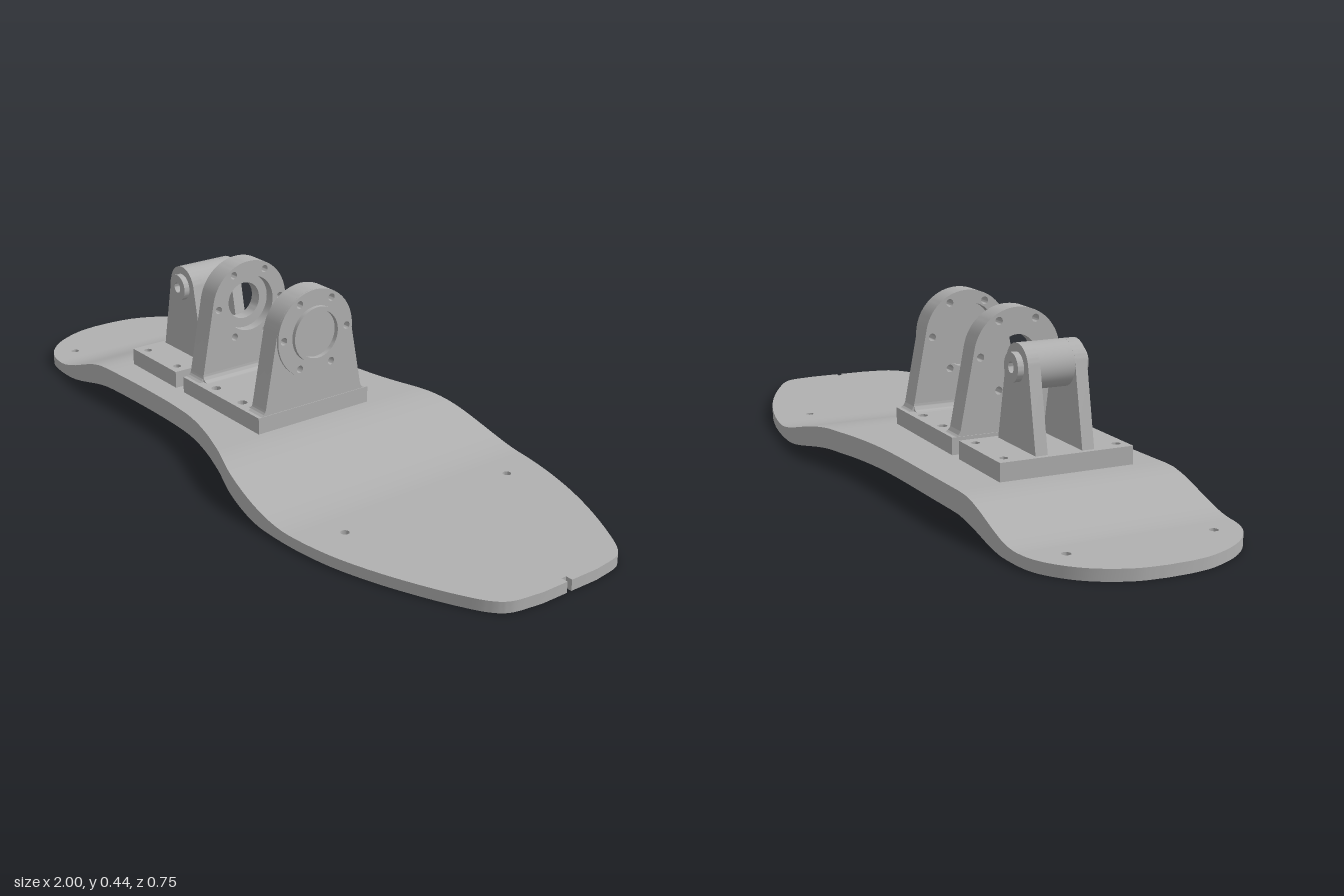
import * as THREE from 'three';
import { mergeGeometries, toCreasedNormals } from 'three/addons/utils/BufferGeometryUtils.js';

const V2 = (x, y) => new THREE.Vector2(x, y);
const Z0 = 0.004; // centre line of the brackets

// Shape from points, with round holes [x, y, radius]
function drill(shape, holes) {
  for (const [x, y, r] of holes) shape.holes.push(new THREE.Path().absarc(x, y, r, 0, Math.PI * 2, true));
  return shape;
}
const extrude = (shape, depth) =>
  new THREE.ExtrudeGeometry(shape, { depth, bevelEnabled: false, curveSegments: 20 });

function rectangle(x0, x1, half) {
  return new THREE.Shape([V2(x0, -half), V2(x1, -half), V2(x1, half), V2(x0, half)]);
}

// Foot plate: height profile and outline stations [x, back z, front z]
const step = THREE.MathUtils.smoothstep;
const topY = x => 0.028 + 0.064 * (step(x, -0.8, -0.54) - step(x, 0.1, 0.47));
const bottomY = x => 0.037 * (step(x, -0.75, -0.51) - step(x, 0.1, 0.38));
const stations = [
  [-1, -0.03, 0.03], [-0.99, -0.1, 0.09], [-0.95, -0.185, 0.175], [-0.9, -0.237, 0.228],
  [-0.85, -0.266, 0.255], [-0.79, -0.278, 0.265], [-0.6, -0.283, 0.263], [-0.4, -0.29, 0.253],
  [-0.2, -0.297, 0.251], [-0.1, -0.305, 0.259], [0, -0.322, 0.282], [0.1, -0.348, 0.315],
  [0.2, -0.37, 0.35], [0.3, -0.378, 0.367], [0.4, -0.377, 0.372], [0.5, -0.366, 0.368],
  [0.6, -0.345, 0.353], [0.7, -0.315, 0.325], [0.8, -0.275, 0.287], [0.9, -0.225, 0.24],
  [0.96, -0.188, 0.203], [0.985, -0.16, 0.172], [1, -0.08, 0.09],
];

function plateGeometry() {
  const rows = new THREE.CatmullRomCurve3(stations.map(s => new THREE.Vector3(...s))).getPoints(132);
  const notch = [V2(1, 0), V2(0.982, 0), V2(0.982, 0.014), V2(1, 0.014)];
  const positions = [];
  const tri = (...pts) => pts.forEach(p => positions.push(...p));
  const at = (p, yOf) => [p.x, yOf(p.x), p.y];

  // Holes [x, z, top radius, bottom radius]
  const holes = [];
  for (const s of [-1, 1]) {
    holes.push([-0.85, s * 0.185, 0.011, 0.011], [0.535, s * 0.258, 0.011, 0.011]);
    for (const x of [-0.14, -0.02]) holes.push([x, Z0 + s * 0.15, 0.013, 0.024]);
    for (const x of [-0.48, -0.33]) holes.push([x, Z0 + s * 0.15, 0.011, 0.015]);
  }
  const ring = (h, r) => Array.from({ length: 16 }, (_, i) => {
    const a = -i * Math.PI / 8;
    return V2(h[0] + r * Math.cos(a), h[1] + r * Math.sin(a));
  });

  // Closed loop around rows i to j
  const loopOf = (i, j) => {
    const part = rows.slice(i, j + 1);
    return [...part.map(p => V2(p.x, p.y)), ...(j === rows.length - 1 ? notch : []),
      ...part.reverse().map(p => V2(p.x, p.z))];
  };
  const cap = (i, j, yOf, radiusIndex, up) => {
    const inside = holes.filter(h => h[0] > rows[i].x && h[0] < rows[j].x).map(h => ring(h, h[radiusIndex]));
    const loop = loopOf(i, j);
    const all = [...loop, ...inside.flat()];
    for (const f of THREE.ShapeUtils.triangulateShape(loop, inside)) {
      const [a, b, c] = f.map(k => all[k]);
      const faceUp = (b.y - a.y) * (c.x - a.x) - (b.x - a.x) * (c.y - a.y) > 0;
      const order = faceUp === up ? [a, b, c] : [a, c, b];
      tri(...order.map(p => at(p, yOf)));
    }
  };
  const wall = (upper, lower) => upper.forEach((p, k) => {
    const n = (k + 1) % upper.length;
    const a = at(p, topY), b = at(upper[n], topY), c = at(lower[n], bottomY), d = at(lower[k], bottomY);
    tri(a, b, c, a, c, d);
  });

  // Flat zones stay whole, the two ramps are cut at every row
  const flat = x => x < -0.8 || (x > -0.508 && x < 0.1) || x > 0.47;
  const cuts = rows.map((_, i) => i).filter(i =>
    i === 0 || i === rows.length - 1 || !(flat(rows[i - 1].x) && flat(rows[i].x) && flat(rows[i + 1].x)));
  for (let k = 0; k < cuts.length - 1; k++) {
    cap(cuts[k], cuts[k + 1], topY, 2, true);
    cap(cuts[k], cuts[k + 1], bottomY, 3, false);
  }
  const outline = loopOf(0, rows.length - 1);
  wall(outline, outline);
  holes.forEach(h => wall(ring(h, h[2]), ring(h, h[3])));

  const g = new THREE.BufferGeometry();
  g.setAttribute('position', new THREE.Float32BufferAttribute(positions, 3));
  return g;
}

// Tapered upright with a round head, drawn in the z-y plane
const HEAD = 0.327;
const boltCircle = Array.from({ length: 6 }, (_, i) =>
  [0.1 * Math.cos(i * Math.PI / 3), HEAD + 0.1 * Math.sin(i * Math.PI / 3), 0.01]);
function armLayer(bore, x0, x1) {
  const s = new THREE.Shape();
  s.moveTo(-0.177, 0.128);
  s.lineTo(0.177, 0.128);
  s.quadraticCurveTo(0.175, 0.135, 0.167, 0.136);
  s.quadraticCurveTo(0.156, 0.14, 0.153, 0.152);
  s.absarc(0, HEAD, 0.118, 0.18, Math.PI - 0.18, false);
  s.lineTo(-0.153, 0.152);
  s.quadraticCurveTo(-0.156, 0.14, -0.167, 0.136);
  s.quadraticCurveTo(-0.175, 0.135, -0.177, 0.128);
  return extrude(drill(s, [[0, HEAD, bore], ...boltCircle]), x1 - x0).rotateY(Math.PI / 2).translate(x0, 0, Z0);
}

// Round flange face, cut flat at the bottom
function flange(x0, x1) {
  const s = new THREE.Shape();
  const a = Math.asin(0.105 / 0.118);
  s.absarc(0, HEAD, 0.118, -a, Math.PI + a, false);
  return extrude(drill(s, [[0, HEAD, 0.073], ...boltCircle]), x1 - x0).rotateY(Math.PI / 2).translate(x0, 0, Z0);
}

function basePlate(x0, x1, half, height, xs, r) {
  const holes = xs.flatMap(x => [[x, 0.15, r], [x, -0.15, r]]);
  return extrude(drill(rectangle(x0, x1, half), holes), height).rotateX(-Math.PI / 2).translate(0, 0.092, Z0);
}

function fillet(x, s) {
  const shape = new THREE.Shape();
  shape.moveTo(0, 0);
  shape.lineTo(s * 0.02, 0);
  shape.quadraticCurveTo(0, 0, 0, 0.02);
  return extrude(shape, 0.306).translate(x, 0.136, Z0 - 0.153);
}

export function createModel() {
  const grey = new THREE.MeshStandardMaterial({ color: 0xb0b0b0 });
  grey.name = 'machined grey';
  const model = new THREE.Group();
  model.name = 'footPlateAssembly';
  const add = (name, parts, parent = model) => {
    const plain = parts.map(p => {
      const g = p.index ? p.toNonIndexed() : p;
      g.deleteAttribute('uv');
      g.deleteAttribute('normal');
      return g;
    });
    const mesh = new THREE.Mesh(toCreasedNormals(mergeGeometries(plain), 0.55), grey);
    mesh.name = name;
    parent.add(mesh);
  };
  const group = name => {
    const g = new THREE.Group();
    g.name = name;
    model.add(g);
    return g;
  };

  add('footPlate', [plateGeometry()]);

  // Large two-armed bracket
  const clevis = group('largeBracket');
  add('largeBracketBase', [basePlate(-0.257, 0.09, 0.177, 0.044, [-0.14, -0.02], 0.013)], clevis);
  add('innerArm', [armLayer(0.05, -0.255, -0.222), armLayer(0.076, -0.222, -0.195)], clevis);
  add('outerArm', [armLayer(0.085, 0.03, 0.058), armLayer(0.073, 0.058, 0.088), flange(0.088, 0.094)], clevis);
  add('armFillets', [fillet(-0.195, 1), fillet(0.03, -1)], clevis);
  const cap = [[0, 0], [0.074, 0], [0.074, 0.047], [0.063, 0.047], [0.063, 0.034], [0, 0.034]];
  add('bearingCap', [new THREE.LatheGeometry(cap.map(p => V2(...p)), 40)
    .rotateZ(-Math.PI / 2).translate(0.058, HEAD, Z0)], clevis);

  // Small bracket with two cheeks joined by a barrel
  const mount = group('smallBracket');
  const X = -0.405, Y = 0.332;
  add('smallBracketBase', [basePlate(-0.515, -0.295, 0.177, 0.046, [-0.48, -0.33], 0.011)], mount);
  for (const s of [-1, 1]) {
    const cheek = new THREE.Shape();
    cheek.moveTo(X - 0.097, 0.136);
    cheek.lineTo(X + 0.097, 0.136);
    cheek.absarc(X, Y, 0.057, 0.22, Math.PI - 0.22, false);
    add('cheek', [extrude(drill(cheek, [[X, Y, 0.03]]), 0.032).translate(0, 0, Z0 + s * 0.062 - 0.016)], mount);
  }
  const tube = (outer, inner, half) => {
    const s = new THREE.Shape().absarc(X, Y, outer, 0, Math.PI * 2, false);
    return extrude(drill(s, [[X, Y, inner]]), half * 2).translate(0, 0, Z0 - half);
  };
  add('barrel', [tube(0.057, 0.03, 0.05)], mount);
  add('bushing', [tube(0.036, 0.014, 0.094)], mount);
  return model;
}
